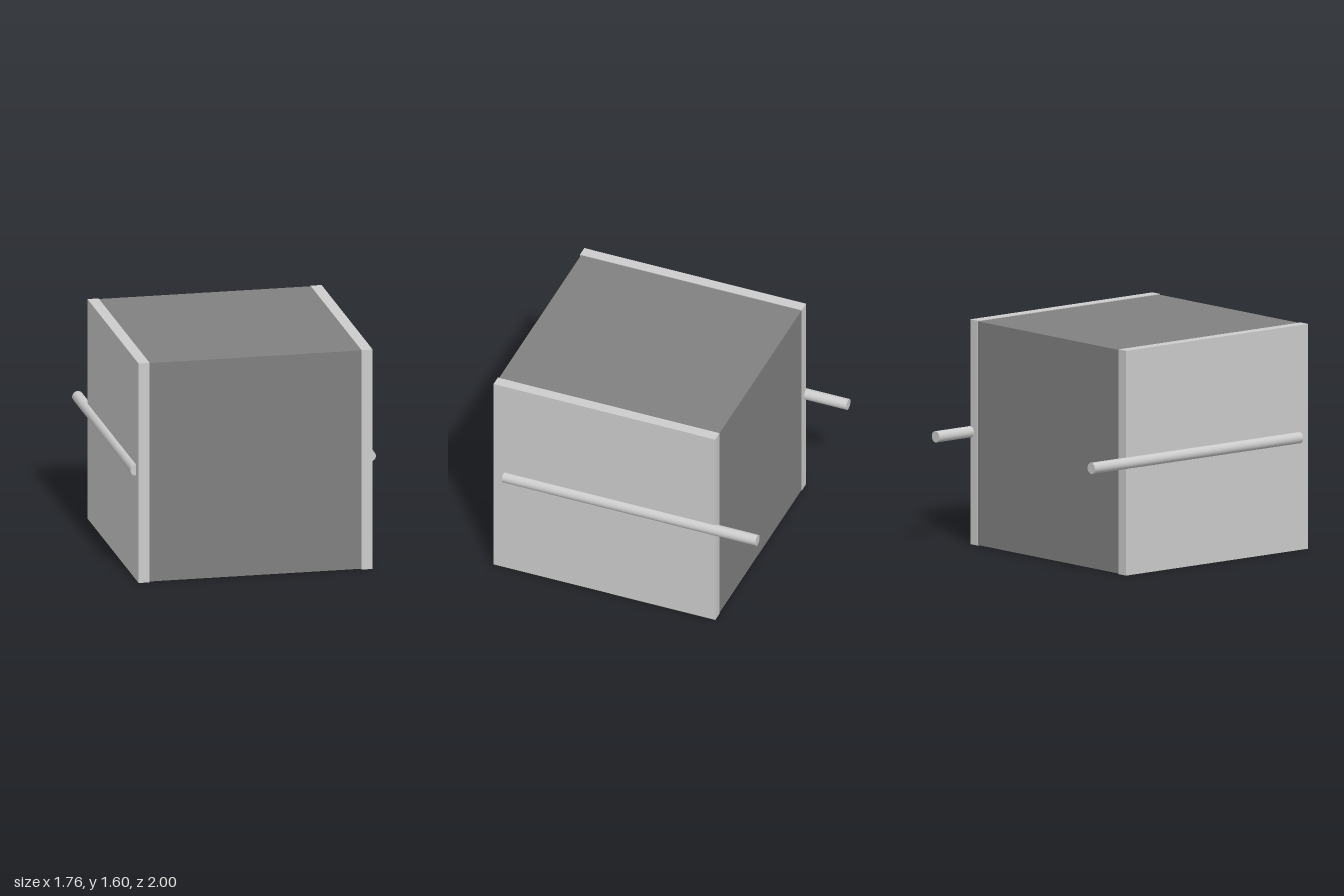
import * as THREE from 'three';

export function createModel() {
  const model = new THREE.Group();
  const light = new THREE.MeshStandardMaterial({ color: 0xcccccc });
  const dark = new THREE.MeshStandardMaterial({ color: 0x808080 });

  const add = (name, geometry, material, x, y, z) => {
    const mesh = new THREE.Mesh(geometry, material);
    mesh.name = name;
    mesh.position.set(x, y, z);
    model.add(mesh);
    return mesh;
  };

  // Dark block, very slightly inset between the side panels
  add('core', new THREE.BoxGeometry(1.52, 1.592, 1.67), dark, 0, 0.8, 0.157);

  // Side panels, each with a rod half sunk into it that runs out past the back
  const panel = new THREE.BoxGeometry(0.08, 1.6, 1.68);
  const rod = new THREE.CylinderGeometry(0.04, 0.04, 1.92, 32).rotateX(Math.PI / 2);
  for (const [side, s] of [['left', 1], ['right', -1]]) {
    add(side + 'Panel', panel, light, s * 0.8, 0.8, 0.16);
    add(side + 'Rod', rod, light, s * 0.84, 0.8, -0.04);
  }
  return model;
}
